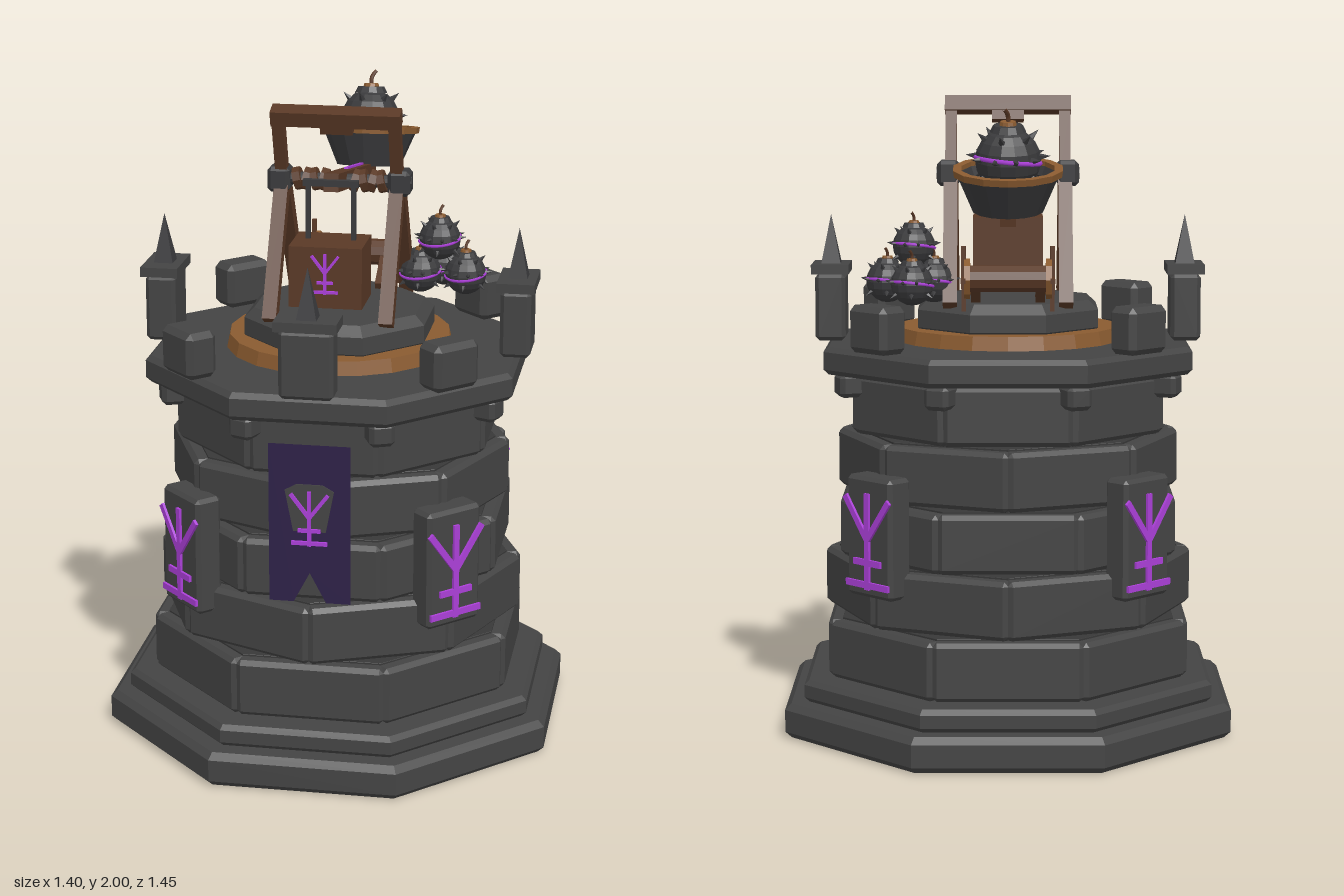
import * as THREE from 'three';
import { mergeGeometries } from 'three/addons/utils/BufferGeometryUtils.js';
import { ConvexGeometry } from 'three/addons/geometries/ConvexGeometry.js';

const paint = (name, color) => {
  const m = new THREE.MeshStandardMaterial({ color });
  m.name = name;
  return m;
};
const V = (x, y, z) => new THREE.Vector3(x, y, z);

export function createModel() {
  const stone = paint('stone', 0x444444);
  const darkStone = paint('darkStone', 0x383838);
  const iron = paint('iron', 0x3a3a3c);
  const wood = paint('wood', 0x5a3926);
  const lightWood = paint('lightWood', 0x8a5b30);
  const purple = paint('purple', 0xab3fd8);
  const cloth = paint('cloth', 0x2e2148);
  cloth.side = THREE.DoubleSide;

  const root = new THREE.Group();
  root.name = 'catapultTower';
  root.position.z = 0.025;

  const add = (parent, name, geo, mat, x = 0, y = 0, z = 0) => {
    const m = new THREE.Mesh(geo, mat);
    m.name = name;
    m.position.set(x, y, z);
    parent.add(m);
    return m;
  };
  const group = (parent, name, x = 0, y = 0, z = 0) => {
    const g = new THREE.Group();
    g.name = name;
    g.position.set(x, y, z);
    parent.add(g);
    return g;
  };
  const flat = (geo) => {
    const g = geo.index ? geo.toNonIndexed() : geo;
    g.computeVertexNormals();
    return g;
  };
  const box = (w, h, d) => new THREE.BoxGeometry(w, h, d);
  const cyl = (rt, rb, h, n) => flat(new THREE.CylinderGeometry(rt, rb, h, n));

  // Box with every edge cut by c
  const chamferBox = (w, h, d, c) => {
    const pts = [];
    for (const i of [-1, 1]) for (const j of [-1, 1]) for (const k of [-1, 1]) {
      const [x, y, z] = [w / 2, h / 2, d / 2];
      pts.push(V(i * x, j * (y - c), k * (z - c)), V(i * (x - c), j * y, k * (z - c)), V(i * (x - c), j * (y - c), k * z));
    }
    return new ConvexGeometry(pts);
  };
  // Eight-sided slab with flats on the axes; a is the centre-to-flat distance
  const octagon = (a, y0, y1, c) => {
    const k = 1 / Math.cos(Math.PI / 8);
    const profile = [[0, y0], [(a - c) * k, y0], [a * k, y0 + c], [a * k, y1 - c], [(a - c) * k, y1], [0, y1]];
    const geo = new THREE.LatheGeometry(profile.map(([r, y]) => new THREE.Vector2(r, y)), 8);
    return flat(geo.rotateY(Math.PI / 8));
  };
  // Straight timber between two points
  const beam = (parent, name, p, q, w, h, mat = wood) => {
    const dir = q.clone().sub(p);
    const m = add(parent, name, box(w, h, dir.length()), mat);
    m.position.copy(p).add(q).multiplyScalar(0.5);
    m.quaternion.setFromUnitVectors(V(0, 0, 1), dir.normalize());
    return m;
  };
  // Forked sign made of thin strokes, centred on its own origin
  const sign = (parent, x, y, z, s) => {
    const g = group(parent, 'forkedSign', x, y, z);
    const strokes = [[0, -0.15, 0, 0.14], [-0.09, -0.14, 0.09, -0.14], [-0.055, -0.07, 0.055, -0.07],
      [0, 0, -0.095, 0.125], [0, 0, 0.095, 0.125]];
    for (const [x0, y0, x1, y1] of strokes) {
      const m = add(g, 'stroke', box(Math.hypot(x1 - x0, y1 - y0) + 0.01, 0.02, 0.009), purple, (x0 + x1) / 2, (y0 + y1) / 2, 0);
      m.rotation.z = Math.atan2(y1 - y0, x1 - x0);
    }
    g.scale.set(s, s, 1);
  };

  // Plinth and wall courses, alternate courses turned by half a side
  add(root, 'plinth', octagon(0.7, 0, 0.11, 0.02), stone);
  add(root, 'plinthStep', octagon(0.64, 0.11, 0.18, 0.015), stone);
  for (let row = 0; row < 5; row++) {
    const a = 0.565 - row * 0.02, y = 0.275 + row * 0.193;
    const course = group(root, 'wallCourse', 0, y, 0);
    course.rotation.y = row % 2 ? Math.PI / 8 : 0;
    add(course, 'core', octagon(a - 0.045, -0.097, 0.097, 0.001), darkStone);
    const w = 2 * a * Math.tan(Math.PI / 8) - 0.008;
    for (let i = 0; i < 8; i++) {
      const side = group(course, 'wallSide');
      side.rotation.y = i * Math.PI / 4;
      add(side, 'block', chamferBox(w, 0.182, 0.13, 0.014), stone, 0, 0, a - 0.065);
    }
  }

  // Battlement floor on corbels
  add(root, 'battlementFloor', octagon(0.572, 1.145, 1.232, 0.016), stone);
  for (let i = 0; i < 8; i++) {
    const g = group(root, 'corbelArm');
    g.rotation.y = Math.PI / 8 + i * Math.PI / 4;
    add(g, 'corbel', chamferBox(0.08, 0.075, 0.1, 0.014), stone, 0, 1.11, 0.525);
  }

  // Diagonal merlons and carved slabs
  for (let i = 0; i < 4; i++) {
    const g = group(root, 'diagonalSide');
    g.rotation.y = Math.PI / 4 + i * Math.PI / 2;
    add(g, 'merlon', chamferBox(0.165, 0.145, 0.105, 0.018), stone, 0, 1.305, 0.56);
    add(g, 'carvedSlab', chamferBox(0.2, 0.375, 0.09, 0.012), stone, 0, 0.667, 0.56);
    sign(g, 0, 0.66, 0.609, 1);
  }

  // Spiked pillars on three sides, the rear left open for the arm
  for (const turn of [-1, 0, 1]) {
    const g = group(root, 'spikedPillar');
    g.rotation.y = turn * Math.PI / 2;
    add(g, 'pillar', chamferBox(0.165, 0.21, 0.095, 0.012), stone, 0, 1.338, 0.56);
    add(g, 'pillarCap', box(0.19, 0.03, 0.118), stone, 0, 1.458, 0.56);
    add(g, 'pillarSpike', cyl(0, 0.043, 0.155, 4).rotateY(Math.PI / 4), iron, 0, 1.55, 0.56);
  }

  // Swallow-tailed banner with a stone plate and sign
  const tail = new THREE.Shape([[-0.125, 1.075], [-0.125, 0.57], [-0.05, 0.57], [0, 0.665], [0.05, 0.57], [0.125, 0.57], [0.125, 1.075]]
    .map(([x, y]) => new THREE.Vector2(x, y)));
  add(root, 'banner', new THREE.ShapeGeometry(tail), cloth, 0, 0, 0.545);
  const plate = new THREE.Shape([[-0.05, 0.8], [0.05, 0.8], [0.075, 0.93], [0.04, 0.95], [-0.04, 0.95], [-0.075, 0.93]]
    .map(([x, y]) => new THREE.Vector2(x, y)));
  add(root, 'bannerPlate', new THREE.ExtrudeGeometry(plate, { depth: 0.006, bevelEnabled: false }), stone, 0, 0, 0.543);
  sign(root, 0, 0.845, 0.552, 0.58);

  // Turntable
  add(root, 'turntableRing', cyl(0.348, 0.358, 0.045, 20), lightWood, 0, 1.253, 0);
  add(root, 'turntable', octagon(0.283, 1.25, 1.365, 0.03), stone);

  // Spiked bomb with a slanted band, collar and fuse
  const bomb = (parent, x, y, z, r) => {
    const g = group(parent, 'bomb', x, y, z);
    g.scale.setScalar(r);
    add(g, 'bombBody', flat(new THREE.SphereGeometry(1, 14, 10)), iron);
    const band = add(g, 'bombBand', new THREE.TorusGeometry(0.99, 0.07, 5, 24).rotateX(Math.PI / 2), purple);
    band.rotation.set(0.14, 0, 0.1);
    const cones = [];
    for (const [lat, n] of [[-0.5, 6], [0.12, 10], [0.75, 6]]) for (let i = 0; i < n; i++) {
      const t = (i + lat) / n * Math.PI * 2;
      const d = V(Math.cos(lat) * Math.cos(t), Math.sin(lat), Math.cos(lat) * Math.sin(t));
      const q = new THREE.Quaternion().setFromUnitVectors(V(0, 1, 0), d);
      cones.push(cyl(0, 0.12, 0.36, 5).translate(0, 1.12, 0).applyQuaternion(q));
    }
    add(g, 'bombSpikes', mergeGeometries(cones), iron);
    add(g, 'collar', cyl(0.45, 0.55, 0.2, 12), iron, 0, 0.98, 0);
    add(g, 'fusePlug', cyl(0.24, 0.28, 0.14, 10), lightWood, 0, 1.12, 0);
    const path = new THREE.CatmullRomCurve3([V(0, 1.1, 0), V(0, 1.35, 0), V(0.05, 1.5, -0.1), V(0.12, 1.6, -0.18)]);
    add(g, 'fuse', new THREE.TubeGeometry(path, 6, 0.07, 6), wood);
  };
  for (const [x, y, z] of [[0.23, 1.43, -0.17], [0.375, 1.43, -0.165], [0.295, 1.43, -0.265], [0.292, 1.54, -0.165]]) bomb(root, x, y, z, 0.066);

  // Catapult frame
  const frame = group(root, 'catapultFrame');
  for (const s of [-1, 1]) {
    const x = s * 0.18;
    for (const z of [-0.225, 0.225]) beam(frame, 'leg', V(x, 1.36, z), V(x, 1.755, 0), 0.044, 0.045);
    beam(frame, 'upright', V(x, 1.75, 0), V(x, 1.965, 0.072), 0.036, 0.04);
    add(frame, 'hub', chamferBox(0.07, 0.08, 0.08, 0.012), iron, s * 0.188, 1.757, 0);
    // Rope wound around the axle
    for (let i = 0; i < 4; i++) {
      const coil = add(frame, 'ropeCoil', cyl(0.036, 0.036, 0.024, 8).rotateZ(Math.PI / 2), wood, s * (0.05 + i * 0.027), 1.757, 0);
      coil.rotation.z = i % 2 ? 0.25 : -0.25;
    }
  }
  add(frame, 'axle', cyl(0.02, 0.02, 0.45, 10).rotateZ(Math.PI / 2), iron, 0, 1.757, 0);
  add(frame, 'topBeam', box(0.4, 0.048, 0.055), wood, 0, 1.968, 0.072).rotation.x = 0.32;
  add(frame, 'stopPad', box(0.1, 0.03, 0.04), wood, 0, 1.933, 0.055).rotation.x = 0.32;

  // Throwing arm, bucket and loaded bomb
  const arm = group(root, 'throwingArm', 0, 1.757, 0.005);
  arm.rotation.x = -0.176;
  add(arm, 'armBeam', box(0.046, 0.056, 0.74), wood, 0, 0, -0.21);
  add(arm, 'armStripe', box(0.012, 0.008, 0.31), purple, 0, 0.03, -0.265);
  const bowl = [[0, 0.02], [0.105, 0.02], [0.155, 0.138], [0.142, 0.138], [0.1, 0.045], [0, 0.045]];
  add(arm, 'bucket', flat(new THREE.LatheGeometry(bowl.map(([r, y]) => new THREE.Vector2(r, y)), 14)), iron, 0, 0, -0.575);
  const rim = [[0.14, 0.128], [0.162, 0.128], [0.165, 0.148], [0.14, 0.148], [0.14, 0.128]];
  add(arm, 'bucketRim', flat(new THREE.LatheGeometry(rim.map(([r, y]) => new THREE.Vector2(r, y)), 14)), lightWood, 0, 0, -0.575);
  bomb(arm, 0, 0.172, -0.575, 0.097);

  // Counterweight box on rods
  const weight = group(root, 'counterweight', 0, 0, 0.175);
  add(weight, 'weightBox', box(0.225, 0.19, 0.18), wood, 0, 1.515, 0.005);
  add(weight, 'hangerBar', box(0.17, 0.02, 0.02), iron, 0, 1.785, -0.01);
  for (const s of [-1, 1]) add(weight, 'hangerRod', box(0.014, 0.19, 0.014), iron, s * 0.07, 1.695, -0.01);
  sign(weight, 0, 1.53, 0.099, 0.42);

  // Winch at the rear
  const winch = group(root, 'winch', 0, 1.45, -0.305);
  add(winch, 'drum', cyl(0.042, 0.042, 0.25, 10).rotateZ(Math.PI / 2), wood);
  for (const s of [-1, 1]) {
    add(winch, 'winchWheel', cyl(0.062, 0.062, 0.018, 8).rotateZ(Math.PI / 2), lightWood, s * 0.125, 0, 0);
    for (const turn of [0, Math.PI / 2]) add(winch, 'winchHandle', box(0.014, 0.2, 0.014), wood, s * 0.136, 0, 0).rotation.x = turn;
    beam(winch, 'winchSupport', V(s * 0.1, -0.08, 0.14), V(s * 0.1, 0, 0), 0.03, 0.035);
  }

  const model = new THREE.Group();
  model.name = 'model';
  model.add(root);
  return model;
}
